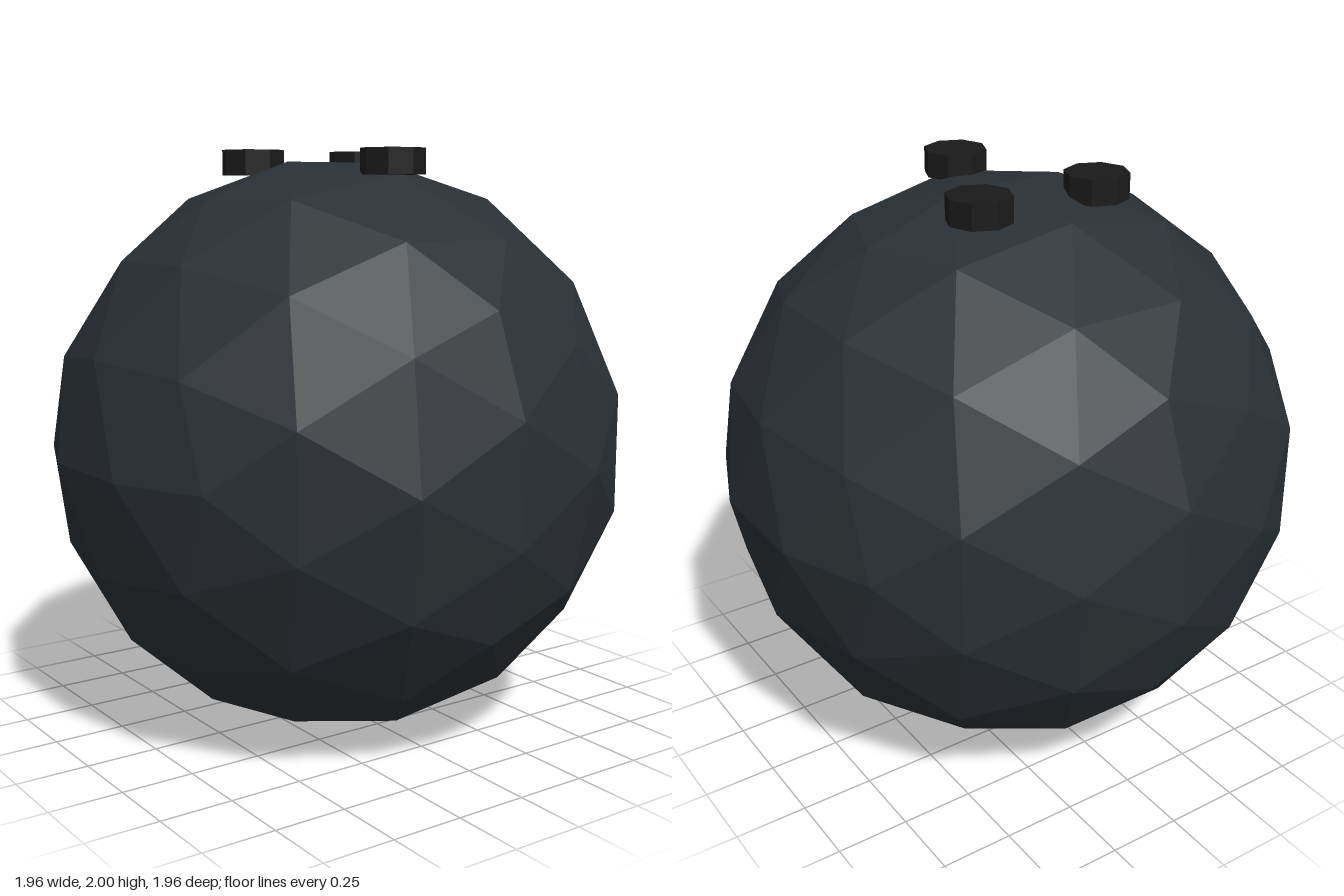
import * as THREE from 'three';

export function createModel() {
  const model = new THREE.Group();
  const ballMaterial = new THREE.MeshStandardMaterial({ color: 0x2a3035, flatShading: true });
  const plugMaterial = new THREE.MeshStandardMaterial({ color: 0x1a1a1a, flatShading: true });

  // Faceted ball, resting on its lowest edge
  const ball = new THREE.Mesh(new THREE.IcosahedronGeometry(1, 2), ballMaterial);
  ball.name = 'ball';
  ball.position.y = 0.979;
  model.add(ball);

  // Three short eight-sided finger plugs on top
  const plugGeometry = new THREE.CylinderGeometry(0.109, 0.109, 0.086, 8);
  const plugs = [
    ['thumbPlug', 0, 0.318],
    ['leftFingerPlug', 0.227, -0.181],
    ['rightFingerPlug', -0.227, -0.181],
  ];
  for (const [name, x, z] of plugs) {
    const plug = new THREE.Mesh(plugGeometry, plugMaterial);
    plug.name = name;
    plug.position.set(x, 1.957, z);
    model.add(plug);
  }
  return model;
}
